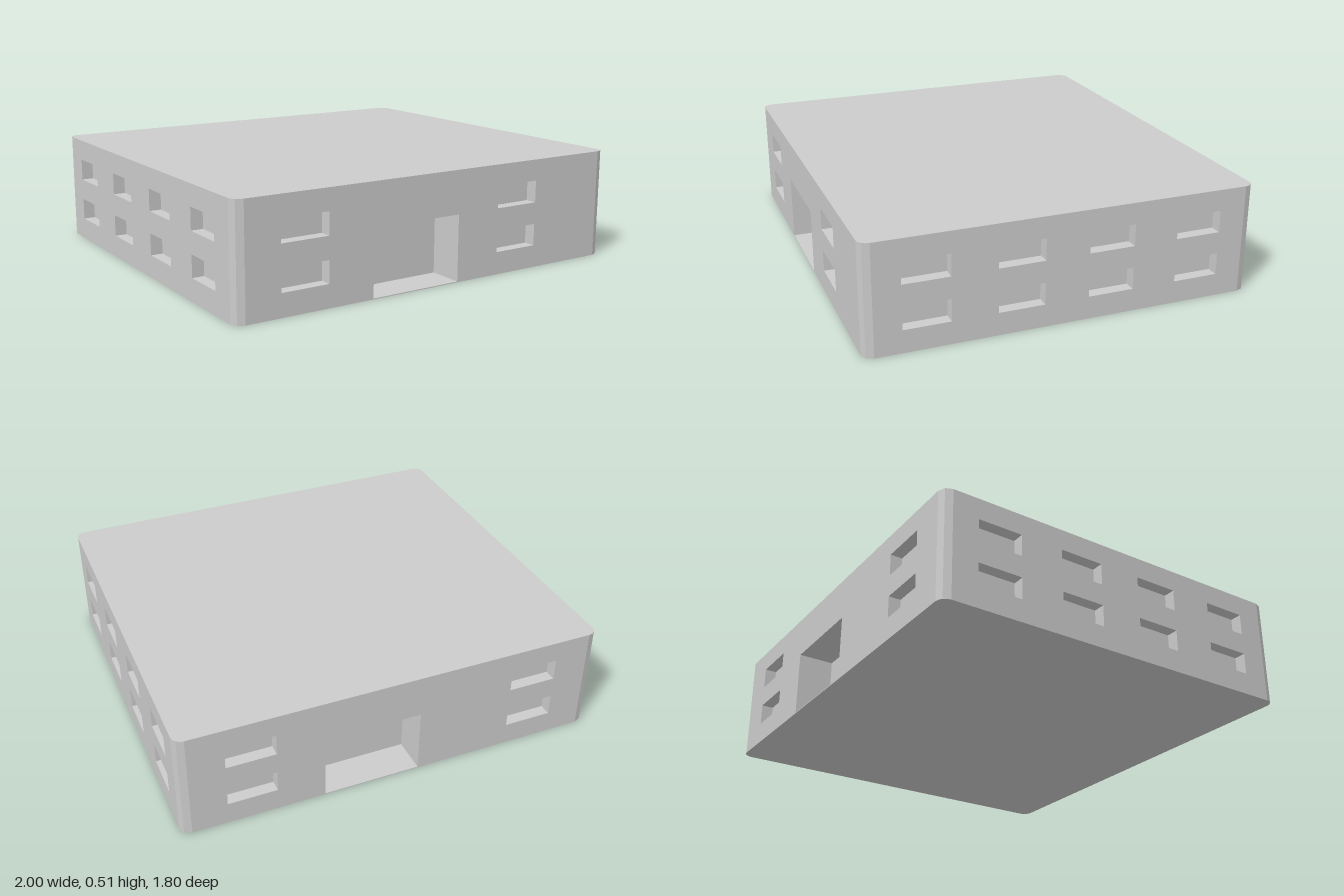
import * as THREE from 'three';

const W = 1, D = 0.9, H = 0.51, R = 0.045; // half width, half depth, height, corner radius
const material = new THREE.MeshStandardMaterial({ color: 0xcccccc, flatShading: true });

function part(name, geometry) {
  const mesh = new THREE.Mesh(geometry, material);
  mesh.name = name;
  return mesh;
}

// Five inward-facing sides of a box, open towards +z
function recess(name, { x, y, w, h, d }) {
  const box = new THREE.BoxGeometry(w, h, -d);
  box.setIndex([...box.index.array].slice(0, 30));
  box.clearGroups();
  const geometry = box.toNonIndexed();
  geometry.computeVertexNormals();
  geometry.translate(x, y, -d / 2);
  return part(name, geometry);
}

function rectanglePoints(x0, y0, x1, y1) {
  return [[x0, y0], [x1, y0], [x1, y1], [x0, y1]].map(([x, y]) => new THREE.Vector2(x, y));
}

// A flat wall facing +z with two rows of windows and an optional door
function facade(name, halfLength, windowXs, windowWidth, hasDoor) {
  const group = new THREE.Group();
  group.name = name;
  const openings = [];
  for (const x of windowXs)
    for (const y of [0.156, 0.36])
      openings.push({ kind: 'window', x, y, w: windowWidth, h: 0.102, d: 0.056 });
  if (hasDoor) openings.push({ kind: 'doorway', x: -0.115, y: 0.157, w: 0.454, h: 0.306, d: 0.168 });

  const shape = new THREE.Shape(rectanglePoints(-halfLength, 0, halfLength, H));
  for (const o of openings) {
    shape.holes.push(new THREE.Path(
      rectanglePoints(o.x - o.w / 2, o.y - o.h / 2, o.x + o.w / 2, o.y + o.h / 2)));
    group.add(recess(o.kind, o));
  }
  group.add(part('wall', new THREE.ShapeGeometry(shape)));
  return group;
}

// Plan outline with rounded corners
function planShape() {
  const s = new THREE.Shape();
  const corners = [[W - R, D - R], [R - W, D - R], [R - W, R - D], [W - R, R - D]];
  corners.forEach(([x, y], i) =>
    s.absarc(x, y, R, i * Math.PI / 2, (i + 1) * Math.PI / 2, false));
  s.closePath();
  return s;
}

export function createModel() {
  const model = new THREE.Group();
  model.name = 'building';

  // Four facades, placed around the plan
  const sideWindows = [-0.627, -0.208, 0.208, 0.627];
  const front = facade('frontFacade', W - R, [-0.678, 0.45], 0.227, true);
  front.position.z = D;
  const back = facade('backFacade', W - R, [-0.678, 0.678], 0.227, true);
  back.position.z = -D;
  back.rotation.y = Math.PI;
  model.add(front, back);
  for (const side of [1, -1]) {
    const wall = facade(side > 0 ? 'leftFacade' : 'rightFacade', D - R, sideWindows, 0.212, false);
    wall.position.x = side * W;
    wall.rotation.y = side * Math.PI / 2;
    model.add(wall);
  }

  // Faceted rounded corners
  for (let i = 0; i < 4; i++) {
    const angle = i * Math.PI / 2;
    const geometry = new THREE.CylinderGeometry(R, R, H, 2, 1, true, angle, Math.PI / 2).toNonIndexed();
    geometry.computeVertexNormals();
    const corner = part('corner', geometry);
    const mid = angle + Math.PI / 4;
    corner.position.set(Math.sign(Math.sin(mid)) * (W - R), H / 2, Math.sign(Math.cos(mid)) * (D - R));
    model.add(corner);
  }

  // Roof and underside
  const roof = part('roof', new THREE.ShapeGeometry(planShape(), 2));
  roof.rotation.x = -Math.PI / 2;
  roof.position.y = H;
  const base = part('base', new THREE.ShapeGeometry(planShape(), 2));
  base.rotation.x = Math.PI / 2;
  model.add(roof, base);

  return model;
}
